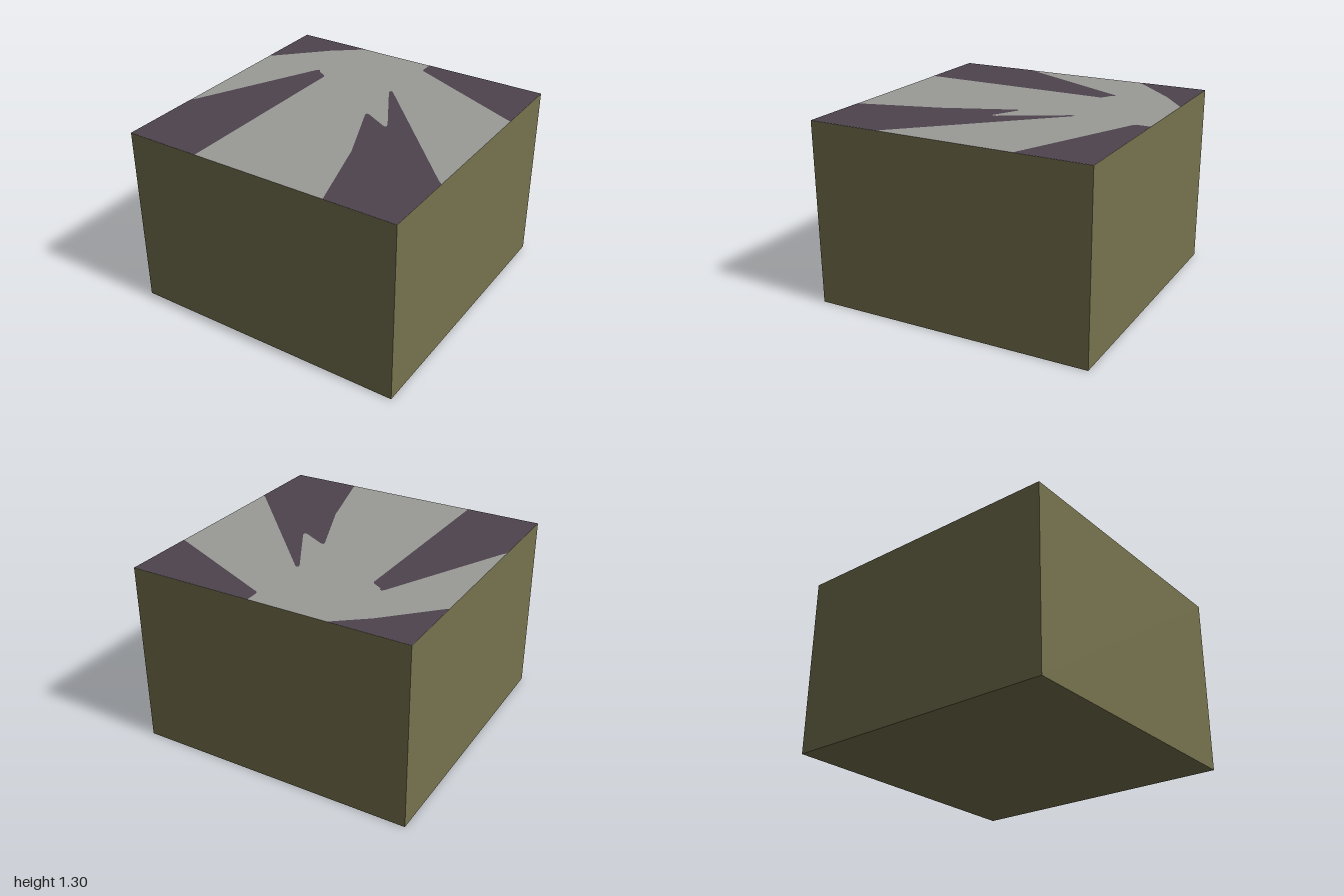
import * as THREE from 'three';

const HEIGHT = 1.3;
const LIFT = 0.001; // keeps the painted patches just clear of the slab top

// Outlines of the dark patches on the top face, as [x, z] points
const PATCHES = {
  backRightPatch: [[-1, -1], [-0.45, -1], [-0.64, -0.85], [-0.66, -0.835], [-0.98, -0.515], [-1, -0.5]],
  backLeftPatch: [[0.11, -1], [1, -1], [1, -0.49], [0.97, -0.5], [0.125, -0.885], [0.11, -0.9]],
  frontRightPatch: [
    [-1, 1], [-1, 0.41], [-0.98, 0.385], [-0.55, -0.475], [-0.535, -0.49], [-0.523, -0.485],
    [-0.515, -0.465], [-0.45, -0.427], [-0.438, -0.41], [-0.462, 1],
  ],
  frontLeftPatch: [
    [1, 1], [1, 0.48], [0.965, 0.45], [0.115, -0.455], [0.1, -0.463], [0.09, -0.455], [0.095, -0.435],
    [0.34, -0.005], [0.345, 0.02], [0.33, 0.026], [0.155, -0.07], [0.138, -0.07], [0.135, -0.055],
    [0.335, 0.43], [0.355, 0.5], [0.502, 1],
  ],
};

export function createModel() {
  const group = new THREE.Group();
  group.name = 'patternedBlock';

  const olive = new THREE.MeshStandardMaterial({ name: 'olive', color: 0x77724e });
  const grey = new THREE.MeshStandardMaterial({ name: 'grey', color: 0x9a9a97 });
  const plum = new THREE.MeshStandardMaterial({ name: 'darkPlum', color: 0x4e434d });

  // Block: olive sides and underside, grey top
  const height = HEIGHT - LIFT;
  const block = new THREE.Mesh(
    new THREE.BoxGeometry(2, height, 2),
    [olive, olive, grey, olive, olive, olive],
  );
  block.name = 'block';
  block.position.y = height / 2;
  group.add(block);

  // Dark patches lying on the top
  for (const [name, points] of Object.entries(PATCHES)) {
    const shape = new THREE.Shape(points.map(([x, z]) => new THREE.Vector2(x, -z)));
    const patch = new THREE.Mesh(new THREE.ShapeGeometry(shape).rotateX(-Math.PI / 2), plum);
    patch.name = name;
    patch.position.y = HEIGHT;
    group.add(patch);
  }
  return group;
}
